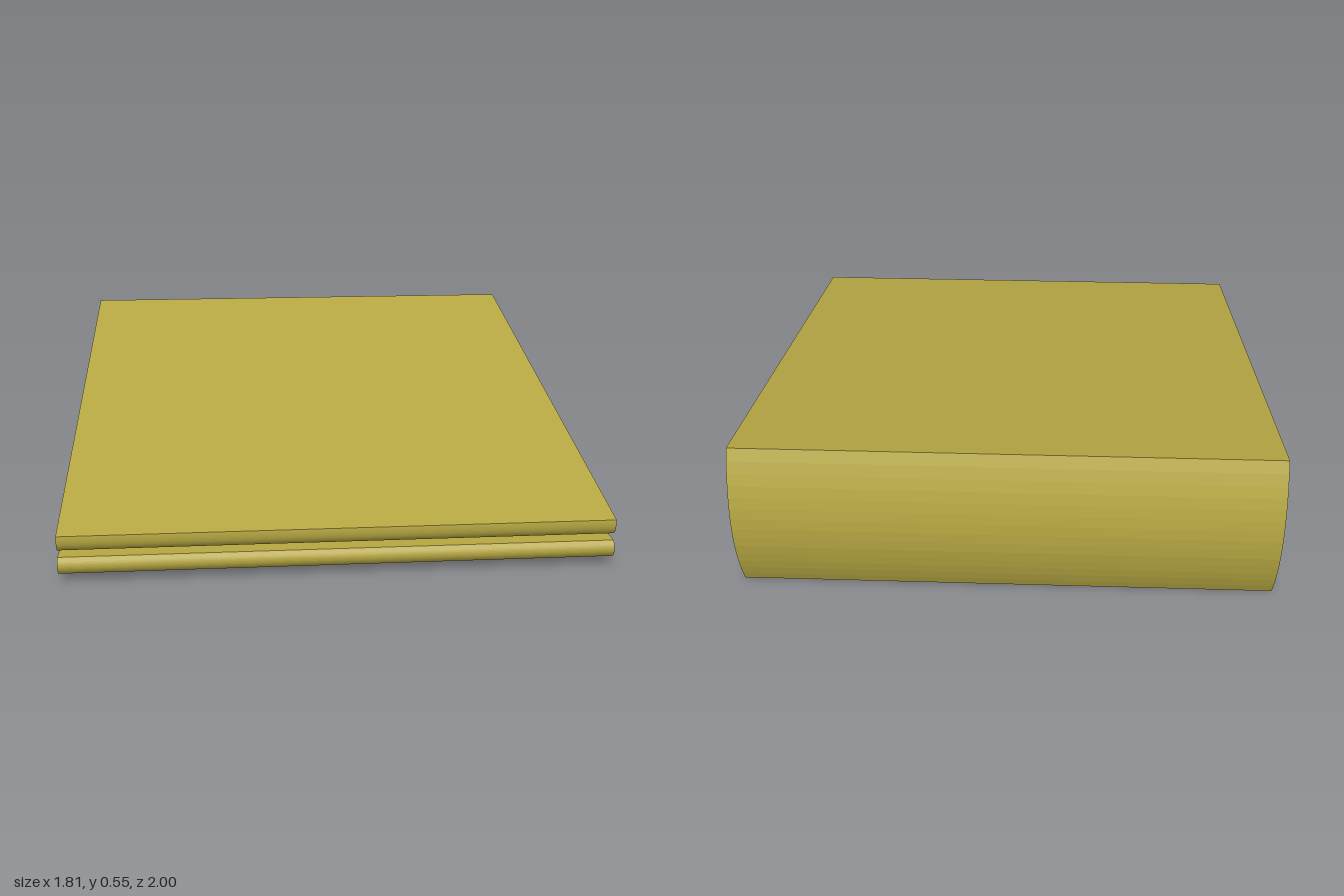
import * as THREE from 'three';

const WIDTH = 1.81;

// Side profile of the clip: shape x runs along model z, shape y is height
function clipProfile() {
  const s = new THREE.Shape();
  s.moveTo(0.985, 0.03);
  s.quadraticCurveTo(1.015, 0.058, 0.985, 0.086); // lower lip
  s.lineTo(-0.84, 0.073);                         // inside floor
  s.quadraticCurveTo(-0.93, 0.265, -0.84, 0.455); // inside of the back
  s.lineTo(-0.815, 0.45);                         // inside of the upper arm
  s.lineTo(0.98, 0.108);
  s.quadraticCurveTo(1.005, 0.125, 1.0, 0.162);   // upper lip
  s.lineTo(-0.93, 0.548);                         // sloping top
  s.quadraticCurveTo(-1.07, 0.27, -0.93, 0);      // bowed outer back
  s.closePath();
  return s;
}

export function createModel() {
  const model = new THREE.Group();
  model.name = 'springClip';
  const brass = new THREE.MeshStandardMaterial({ color: 0xb5a642 });
  const grey = new THREE.MeshStandardMaterial({ color: 0xcccccc });

  // Folded clip body, swept across the full width
  const bodyGeo = new THREE.ExtrudeGeometry(clipProfile(), {
    depth: WIDTH, bevelEnabled: false, curveSegments: 14,
  });
  bodyGeo.rotateY(-Math.PI / 2);
  bodyGeo.translate(WIDTH / 2, 0, 0);
  const body = new THREE.Mesh(bodyGeo, brass);
  body.name = 'clipBody';
  model.add(body);

  // Three spring rings set into the arms and back
  const ringGeo = new THREE.TorusGeometry(0.195, 0.031, 20, 64);
  ringGeo.rotateY(Math.PI / 2);
  for (const [name, x] of [['rightRing', -0.815], ['middleRing', 0], ['leftRing', 0.815]]) {
    const ring = new THREE.Mesh(ringGeo, grey);
    ring.name = name;
    ring.position.set(x, 0.24, -0.755);
    model.add(ring);
  }
  return model;
}
